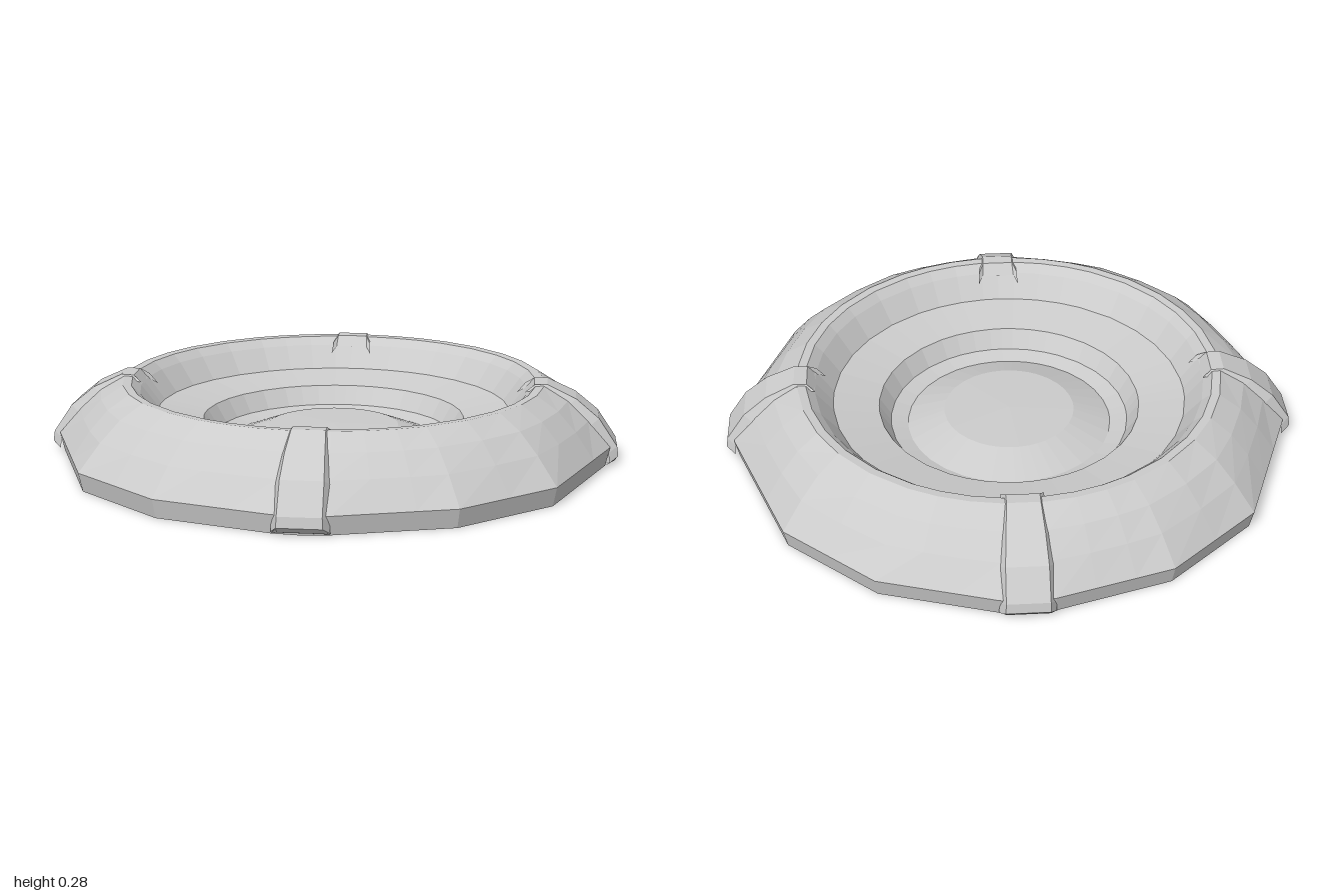
import * as THREE from 'three';

const material = new THREE.MeshStandardMaterial({ color: 0xcccccc, flatShading: true });

// Surface through rows x cols points; at(i, j) returns [x, y, z]
function gridMesh(name, rows, cols, at) {
  const positions = [], index = [];
  for (let i = 0; i < rows; i++)
    for (let j = 0; j < cols; j++) positions.push(...at(i, j));
  for (let i = 0; i < rows - 1; i++)
    for (let j = 0; j < cols - 1; j++) {
      const a = i * cols + j, b = a + 1, c = a + cols, d = c + 1;
      index.push(a, c, b, b, c, d);
    }
  const geometry = new THREE.BufferGeometry();
  geometry.setAttribute('position', new THREE.Float32BufferAttribute(positions, 3));
  geometry.setIndex(index);
  geometry.computeVertexNormals();
  const mesh = new THREE.Mesh(geometry, material);
  mesh.name = name;
  return mesh;
}

// Faceted outline of the base: one quadrant of corners, mirrored to a full turn
function baseOutline() {
  const corners = [[0.97, 0], [0.97, 0.09], [0.78, 0.59], [0.48, 0.85], [0.09, 0.965], [0, 0.975]];
  const splits = [1, 3, 2, 3, 1];
  const quadrant = [];
  splits.forEach((n, k) => {
    const [p, q] = [corners[k], corners[k + 1]];
    for (let s = 0; s < n; s++)
      quadrant.push([p[0] + (q[0] - p[0]) * s / n, p[1] + (q[1] - p[1]) * s / n]);
  });
  quadrant.push(corners[5]);
  const half = [...quadrant, ...quadrant.slice(0, -1).reverse().map(([x, z]) => [-x, z])];
  return [...half, ...half.slice(0, -1).reverse().map(([x, z]) => [x, -z])];
}

export function createModel() {
  const group = new THREE.Group();
  group.name = 'steppedDish';

  // Body: radius, height, and how far each ring follows the faceted outline
  const rings = [
    [0, 0, 0], [0.985, 0, 1], [1, 0.065, 1],
    [0.91, 0.155, 0.6], [0.83, 0.222, 0.3], [0.74, 0.27, 0], [0.71, 0.268, 0],
    [0.68, 0.24, 0], [0.62, 0.16, 0],
    [0.46, 0.13, 0], [0.42, 0.065, 0],
    [0.36, 0.05, 0], [0.23, 0.1, 0], [0, 0.105, 0],
  ];
  const outline = baseOutline();
  group.add(gridMesh('body', rings.length, outline.length, (i, j) => {
    const [r, y, follow] = rings[i];
    const [x, z] = outline[j];
    const reach = Math.hypot(x, z);
    const radius = r * (follow * reach + (1 - follow));
    return [radius * x / reach, y, radius * z / reach];
  }));

  // Four raised straps over the rim: radius, height and half width from foot to rim
  const strap = [
    [0.95, 0, 0.085], [0.985, 0.012, 0.09], [1, 0.03, 0.092], [0.995, 0.065, 0.09],
    [0.93, 0.162, 0.088], [0.85, 0.228, 0.08], [0.75, 0.275, 0.07],
    [0.705, 0.273, 0.07], [0.675, 0.235, 0.075],
  ];
  const across = [-1, -0.78, 0, 0.78, 1];
  for (let k = 0; k < 4; k++) {
    const mesh = gridMesh('rimStrap' + (k + 1), strap.length, across.length, (i, j) => {
      const [r, y, w] = strap[i];
      const sunk = Math.abs(across[j]) === 1 ? 0.03 : 0;
      return [r - sunk, Math.max(0, y - sunk * 0.7), w * across[j]];
    });
    mesh.rotation.y = k * Math.PI / 2;
    if (k % 2) mesh.scale.x = 0.99;
    group.add(mesh);
  }
  return group;
}
